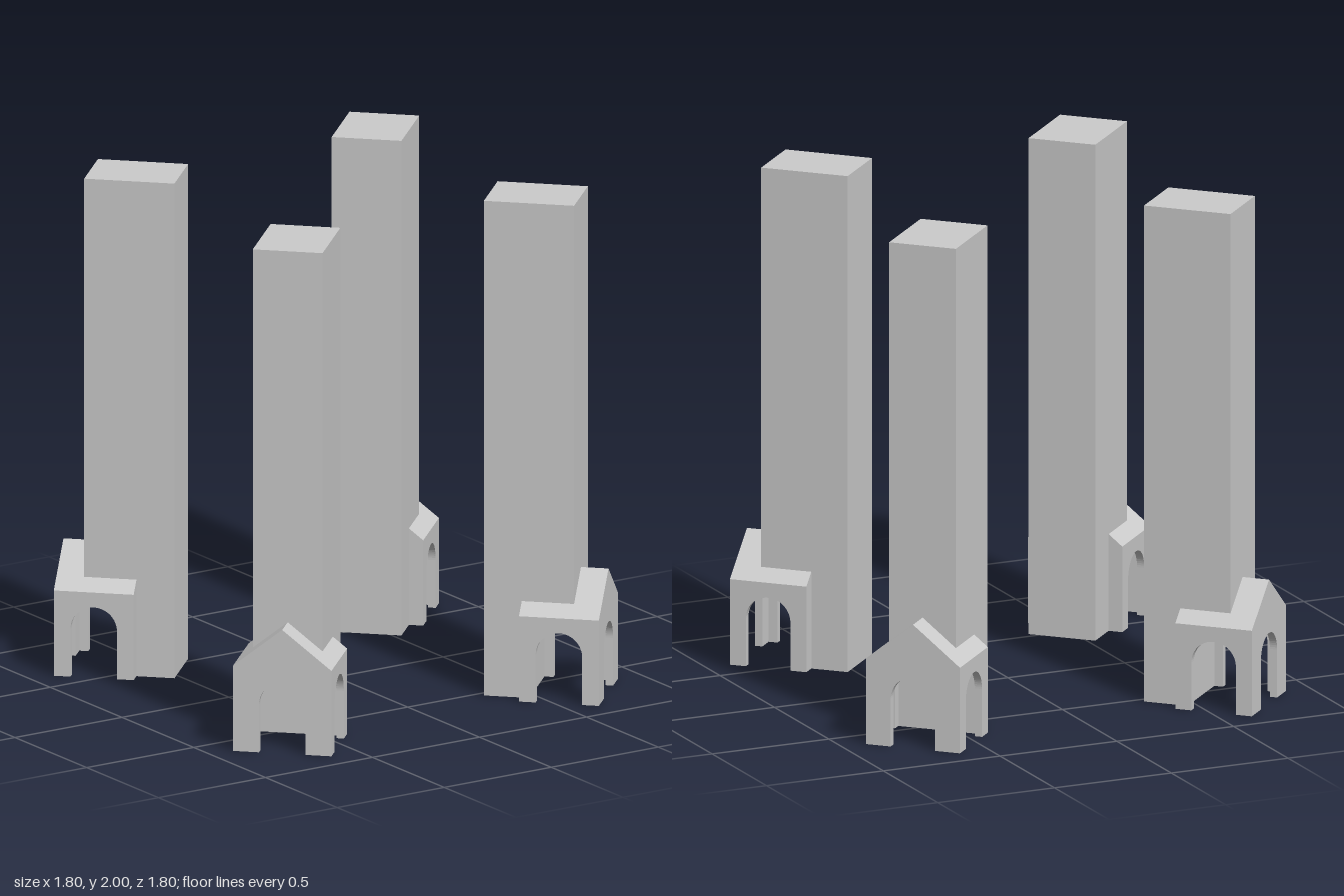
import * as THREE from 'three';

// Local frame of each corner unit: z points outward from the centre, x runs across.
const WALL = 0.03, HALF = 0.1945, EAVE = 0.345, RIDGE = 0.5, CEILING = 0.315;
const BACK = 0.762, FRONT = 1.078;
const TOWER_HALF = 0.138, TOWER_IN = 0.612, TOWER_OUT = 0.969;
const ARCH_R = 0.092, ARCH_SPRING = 0.193;

const material = new THREE.MeshStandardMaterial({ color: 0xcccccc, flatShading: true });

function polygon(points) {
  return new THREE.Shape(points.map(([x, y]) => new THREE.Vector2(x, y)));
}

// Wall outline with an arched doorway open at the ground; top lists points from right to left
function archedWall(left, right, centre, top) {
  const s = new THREE.Shape();
  s.moveTo(left, 0);
  s.lineTo(centre - ARCH_R, 0);
  s.lineTo(centre - ARCH_R, ARCH_SPRING);
  s.absarc(centre, ARCH_SPRING, ARCH_R, Math.PI, 0, true);
  s.lineTo(centre + ARCH_R, 0);
  s.lineTo(right, 0);
  top.forEach(([x, y]) => s.lineTo(x, y));
  s.closePath();
  return s;
}

function extrude(shape, depth) {
  return new THREE.ExtrudeGeometry(shape, { depth, bevelEnabled: false, curveSegments: 16 });
}

// Extrudes a (z, y) profile across x, ending at xMax
function extrudeAcross(shape, xMax, width) {
  return extrude(shape, width).rotateY(-Math.PI / 2).translate(xMax, 0, 0);
}

function add(group, name, geometry) {
  const mesh = new THREE.Mesh(geometry, material);
  mesh.name = name;
  group.add(mesh);
}

function createUnit() {
  const unit = new THREE.Group();
  const inner = BACK + WALL;

  // Tall tower, cut away at the foot to leave room for the porch
  add(unit, 'tower', extrudeAcross(polygon([
    [TOWER_IN, 0], [inner, 0], [inner, CEILING],
    [TOWER_OUT, CEILING], [TOWER_OUT, 2], [TOWER_IN, 2],
  ]), TOWER_HALF, 2 * TOWER_HALF));

  // Gabled front wall with arch
  const gable = archedWall(-HALF, HALF, 0, [[HALF, EAVE], [0, RIDGE], [-HALF, EAVE]]);
  add(unit, 'gableWall', extrude(gable, WALL).translate(0, 0, FRONT - WALL));

  // Solid pitched roof with a flat ceiling below
  const roof = polygon([[-HALF, CEILING], [HALF, CEILING], [HALF, EAVE], [0, RIDGE], [-HALF, EAVE]]);
  add(unit, 'roof', extrude(roof, FRONT - WALL - BACK).translate(0, 0, BACK));

  // Arched side walls and the short returns that join them to the tower
  const end = FRONT - WALL;
  const side = archedWall(BACK, end, (BACK + FRONT) / 2, [[end, CEILING], [BACK, CEILING]]);
  const returnWidth = HALF - WALL - TOWER_HALF;
  for (const s of [1, -1]) {
    add(unit, s > 0 ? 'sideWallLeft' : 'sideWallRight',
      extrudeAcross(side, s > 0 ? HALF : -HALF + WALL, WALL));
    add(unit, s > 0 ? 'backReturnLeft' : 'backReturnRight',
      new THREE.BoxGeometry(returnWidth, CEILING, WALL)
        .translate(s * (TOWER_HALF + returnWidth / 2), CEILING / 2, BACK + WALL / 2));
  }
  return unit;
}

export function createModel() {
  const model = new THREE.Group();
  model.name = 'fourTowers';
  const names = ['frontLeftTower', 'backLeftTower', 'backRightTower', 'frontRightTower'];
  names.forEach((name, i) => {
    const unit = createUnit();
    unit.name = name;
    unit.rotation.y = Math.PI / 4 + i * Math.PI / 2;
    model.add(unit);
  });
  return model;
}
